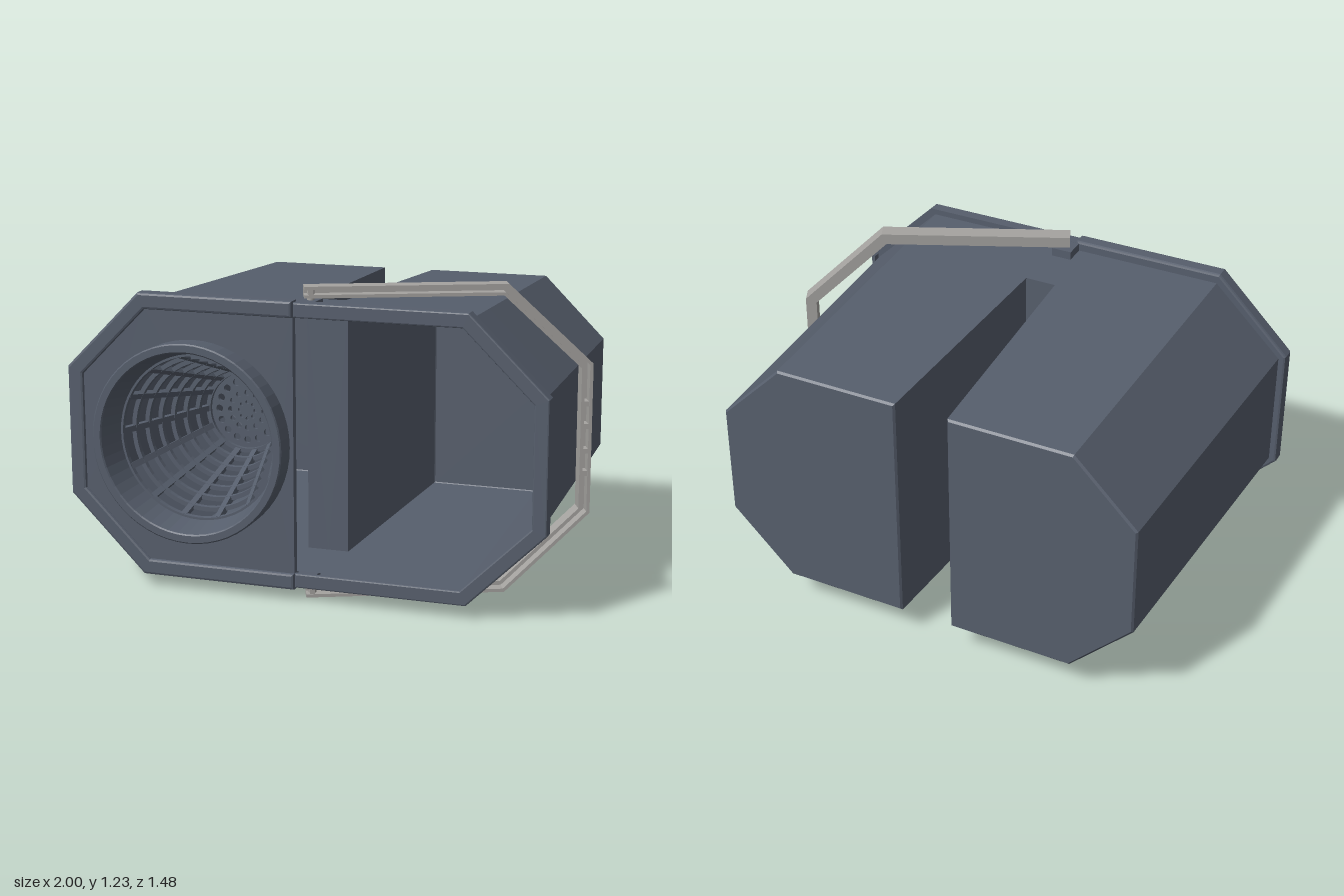
import * as THREE from 'three';

const CY = 0.617; // mid height of everything
const MX = -0.025; // mirror line between the two tubs
const slate = new THREE.MeshStandardMaterial({ color: 0x565e6c, side: THREE.DoubleSide });
const grey = new THREE.MeshStandardMaterial({ color: 0xa5a3a0, side: THREE.DoubleSide });

function add(parent, name, geo, mat = slate, x = 0, y = 0, z = 0) {
  const m = new THREE.Mesh(geo, mat);
  m.name = name;
  m.position.set(x, y, z);
  parent.add(m);
  return m;
}

// Half outline with two cut corners: [inner x, outer x, cut x, half height, cut half height]
const outline = ([xi, xo, xc, h, hc]) => [[xi, -h], [xc, -h], [xo, -hc], [xo, hc], [xc, h], [xi, h]];
const mix = (a, b, t) => a.map((v, i) => v + (b[i] - v) * t);
const shrink = ([xi, xo, xc, h, hc], t) => [xi, xo - t, xc - 0.414 * t, h - t, hc - 0.414 * t];
const toShape = (pts) => new THREE.Shape(pts.map(([x, y]) => new THREE.Vector2(x, y)));

// Flat-sided skin through a row of sections; `closed` includes the inner wall, `cap` closes the end
function loft(sections, closed, cap) {
  const pos = [];
  const tri = (...p) => p.forEach((v) => pos.push(...v));
  const rows = sections.map(({ s, z }) => outline(s).map(([x, y]) => [x, y, z]));
  for (let r = 0; r + 1 < rows.length; r++) {
    for (let i = 0; i < (closed ? 6 : 5); i++) {
      const j = (i + 1) % 6;
      const [a, b, c, d] = [rows[r][i], rows[r][j], rows[r + 1][j], rows[r + 1][i]];
      tri(a, d, b, b, d, c);
    }
  }
  const e = rows[rows.length - 1];
  if (cap) for (let i = 1; i < 5; i++) tri(e[0], e[i + 1], e[i]);
  const g = new THREE.BufferGeometry();
  g.setAttribute('position', new THREE.Float32BufferAttribute(pos, 3));
  g.computeVertexNormals();
  return g;
}

// C-shaped band following a half outline, thickness t, from z0 to z1
function band(s, t, z0, z1, bevel = 0) {
  const shape = toShape([...outline(s), ...outline(shrink(s, t)).reverse()]);
  const g = new THREE.ExtrudeGeometry(shape, {
    depth: z1 - z0 - 2 * bevel, bevelEnabled: bevel > 0, bevelSize: bevel,
    bevelThickness: bevel, bevelOffset: -bevel, bevelSegments: 2,
  });
  return g.translate(0, 0, z0 + bevel);
}

// One tub of the pair, outside and inside skins
function makeTub() {
  const g = new THREE.Group();
  const skin = (label, front, back, zSaddle, zEnd, xSaddle, xEnd, round) => {
    const t = (0.6 - zSaddle) / (0.6 - zEnd);
    const mid = mix(front, back, t);
    add(g, label + 'Collar', loft([{ s: front, z: 0.6 }, { s: mid, z: zSaddle }], false, false));
    const top = [xSaddle, ...mid.slice(1)];
    const end = [xEnd, ...back.slice(1)];
    const tip = shrink(end, round);
    tip[0] += round;
    add(g, label + 'Wall', loft([{ s: top, z: zSaddle }, { s: end, z: zEnd + round }, { s: tip, z: zEnd }], true, true));
    add(g, label + 'Saddle', new THREE.PlaneGeometry(xSaddle, mid[3] * 2), slate, xSaddle / 2, 0, zSaddle);
  };
  skin('outer', [0, 0.945, 0.655, 0.53, 0.248], [0, 0.885, 0.625, 0.495, 0.235], 0.29, -0.74, 0.065, 0.11, 0.008);
  skin('inner', [0, 0.925, 0.645, 0.505, 0.24], [0, 0.855, 0.605, 0.47, 0.225], 0.32, -0.71, 0.085, 0.135, 0.004);
  return g;
}

// Press plate with collar and slotted basket
function makeWringer() {
  const g = new THREE.Group();
  const edge = [0.025, 0.975, 0.665, 0.57, 0.26];
  const cx = 0.435;
  add(g, 'plateBorder', band(edge, 0.065, 0.585, 0.65, 0.01));
  const plate = toShape(outline(shrink(edge, 0.05)));
  plate.holes.push(new THREE.Path().absarc(cx, 0, 0.365, 0, Math.PI * 2, true));
  add(g, 'plate', new THREE.ExtrudeGeometry(plate, { depth: 0.03, bevelEnabled: false, curveSegments: 32 }), slate, 0, 0, 0.608);

  const basket = new THREE.Group();
  basket.name = 'basket';
  basket.position.x = cx;
  g.add(basket);
  const ring = (name, pts) => {
    const l = new THREE.LatheGeometry(pts.map(([r, z]) => new THREE.Vector2(r, z)), 56).toNonIndexed();
    l.computeVertexNormals();
    add(basket, name, l.rotateX(Math.PI / 2));
  };
  ring('collar', [[0.395, 0.6], [0.397, 0.73], [0.392, 0.735], [0.365, 0.735], [0.36, 0.73], [0.33, 0.59], [0.345, 0.59], [0.37, 0.62]]);

  // Lattice of hoops and ribs on a cone
  const zTop = 0.6, zEnd = 0.1, rTop = 0.335, rEnd = 0.17, rows = 7, cols = 14;
  const radius = (z) => rEnd + (rTop - rEnd) * (z - zEnd) / (zTop - zEnd);
  for (let i = 0; i <= rows; i++) {
    const z = zEnd + (zTop - zEnd) * i / rows;
    const r = radius(z), w = i === 0 ? 0.02 : 0.009;
    ring('hoop', [[r - 0.012, z - w], [r + 0.006, z - w], [r + 0.008, z + w], [r - 0.01, z + w], [r - 0.012, z - w]]);
  }
  const slope = Math.atan2(rTop - rEnd, zTop - zEnd);
  const ribLength = Math.hypot(rTop - rEnd, zTop - zEnd);
  for (let i = 0; i < cols; i++) {
    const spoke = new THREE.Group();
    spoke.rotation.z = (i / cols) * Math.PI * 2;
    basket.add(spoke);
    const rib = add(spoke, 'rib', new THREE.BoxGeometry(0.024, 0.024, ribLength), slate, (rTop + rEnd) / 2, 0, (zTop + zEnd) / 2);
    rib.rotation.y = slope;
  }

  // Perforated basket floor
  const floor = new THREE.Shape().absarc(0, 0, 0.175, 0, Math.PI * 2, false);
  for (const [r, n, size] of [[0.125, 16, 0.015], [0.075, 12, 0.012], [0.035, 8, 0.008]]) {
    for (let i = 0; i < n; i++) {
      const a = (i / n) * Math.PI * 2;
      floor.holes.push(new THREE.Path().absarc(r * Math.cos(a), r * Math.sin(a), size, 0, Math.PI * 2, true));
    }
  }
  add(basket, 'basketFloor', new THREE.ExtrudeGeometry(floor, { depth: 0.015, bevelEnabled: false, curveSegments: 10 }), slate, 0, 0, zEnd - 0.01);
  return g;
}

// Swinging carry handle: channel section open to the front
function makeHandle() {
  const g = new THREE.Group();
  const s = [0, 1.12, 0.785, 0.617, 0.3];
  add(g, 'handleBack', band(s, 0.045, 0, 0.02), grey);
  add(g, 'handleOuterFlange', band(s, 0.013, 0.015, 0.07), grey);
  add(g, 'handleInnerFlange', band(shrink(s, 0.032), 0.013, 0.015, 0.07), grey);
  for (const y of [-0.14, -0.05, 0.05, 0.14]) {
    add(g, 'handleRib', new THREE.BoxGeometry(0.035, 0.02, 0.055), grey, 1.0975, y, 0.04);
  }
  for (const side of [-1, 1]) {
    add(g, 'handleEnd', new THREE.BoxGeometry(0.02, 0.035, 0.055), grey, 0.025, side * 0.5945, 0.04);
  }
  return g;
}

export function createModel() {
  const model = new THREE.Group();
  model.name = 'mopBucket';
  const halves = [1, -1].map((side) => {
    const half = new THREE.Group();
    half.position.set(MX, CY, 0);
    half.scale.x = side;
    model.add(half);
    const tub = makeTub();
    tub.name = side > 0 ? 'openTub' : 'wringerTub';
    half.add(tub);
    return half;
  });

  // Rolled rim around the open tub
  const rim = [-0.025, 0.975, 0.665, 0.563, 0.26];
  add(halves[0], 'rimTop', band(rim, 0.058, 0.615, 0.637, 0.006));
  add(halves[0], 'rimLip', band(rim, 0.015, 0.585, 0.625));

  const wringer = makeWringer();
  wringer.name = 'wringer';
  halves[1].add(wringer);

  // Pivot lugs and pins
  for (const side of [-1, 1]) {
    add(model, 'pivotLug', new THREE.BoxGeometry(0.085, 0.045, 0.1), slate, -0.02, CY + side * 0.54, 0.55);
    add(model, 'pivotPin', new THREE.CylinderGeometry(0.015, 0.015, 0.06, 16), grey, -0.01, CY + side * 0.575, 0.545);
  }

  const handle = makeHandle();
  handle.name = 'handle';
  handle.position.set(-0.05, CY, 0.52);
  handle.rotation.y = 0.424;
  model.add(handle);
  return model;
}
